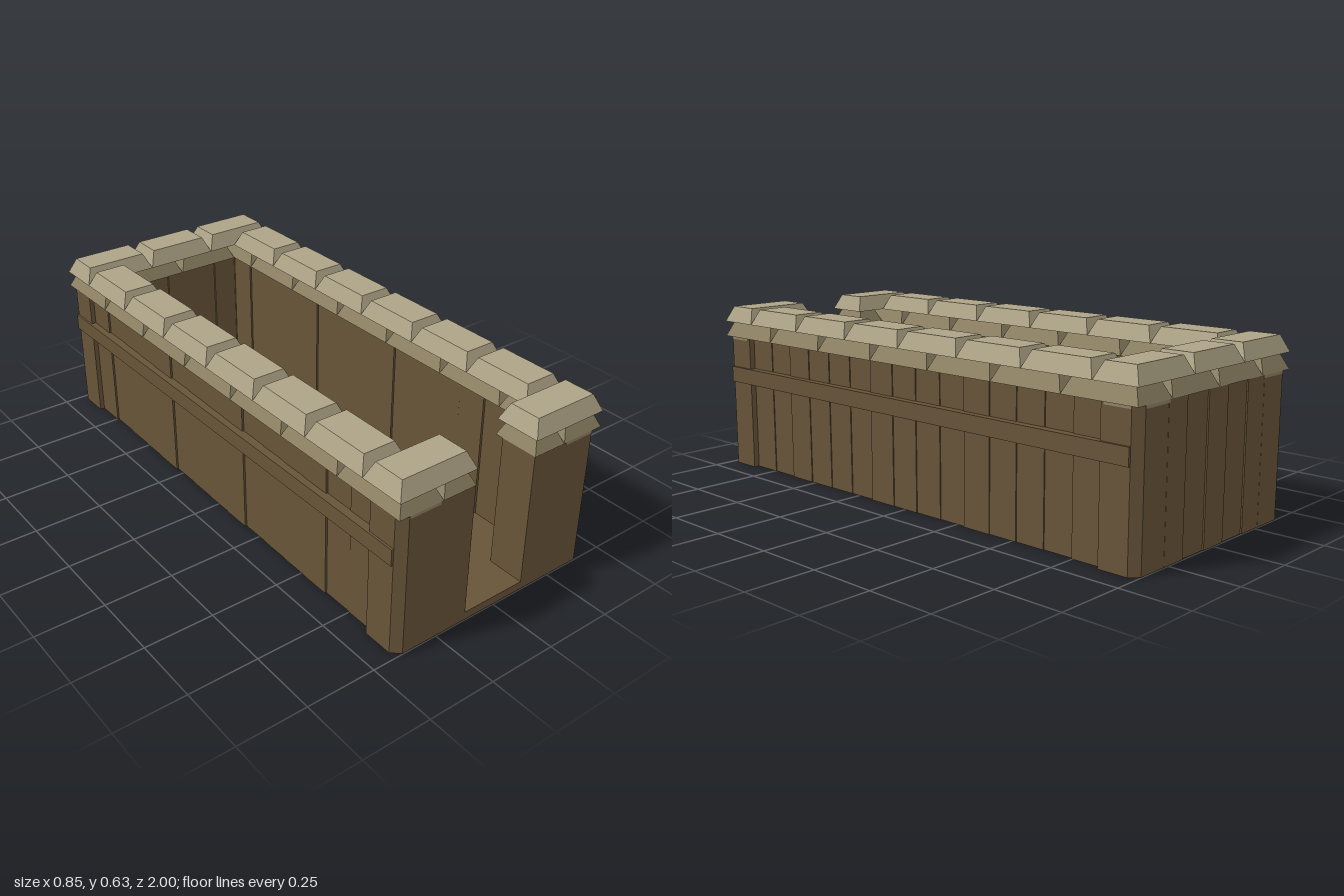
import * as THREE from 'three';

export function createModel() {
  const model = new THREE.Group();
  model.name = 'trench';

  const mat = (name, color) => {
    const m = new THREE.MeshStandardMaterial({ color });
    m.name = name;
    return m;
  };
  const wood = mat('brown wood', 0x685539);
  const lowerBag = mat('dark sandbag', 0x8f8365);
  const upperBag = mat('light sandbag', 0xaea386);
  const red = mat('red bench wood', 0x743029);

  const add = (name, geometry, material, parent = model) => {
    const mesh = new THREE.Mesh(geometry, material);
    mesh.name = name;
    parent.add(mesh);
    return mesh;
  };
  const group = (name) => {
    const g = new THREE.Group();
    g.name = name;
    model.add(g);
    return g;
  };
  // Box from its limits; the top is drawn in by "inset"
  const block = (x0, x1, y0, y1, z0, z1, inset = 0) => {
    const w = x1 - x0, h = y1 - y0, d = z1 - z0;
    const geo = new THREE.BoxGeometry(w, h, d);
    if (inset) {
      const p = geo.attributes.position;
      for (let i = 0; i < p.count; i++) {
        if (p.getY(i) < 0) continue;
        p.setX(i, p.getX(i) - Math.sign(p.getX(i)) * inset);
        p.setZ(i, p.getZ(i) - Math.sign(p.getZ(i)) * inset);
      }
      geo.computeVertexNormals();
    }
    return geo.translate((x0 + x1) / 2, (y0 + y1) / 2, (z0 + z1) / 2);
  };
  // Upright prism from a plan outline of [x, z] points
  const prism = (points, height) => {
    const shape = new THREE.Shape(points.map(([x, z]) => new THREE.Vector2(x, -z)));
    return new THREE.ExtrudeGeometry(shape, { depth: height, bevelEnabled: false }).rotateX(-Math.PI / 2);
  };

  const H = 0.515;
  const bagIn = 0.255, bagOut = 0.425;

  // Floor with its sill in the entrance
  add('floor', block(-0.39, 0.39, 0, 0.03, -0.97, 0.87), wood);
  add('entranceSill', block(-0.125, 0.125, 0, 0.03, 0.87, 0.998), wood);

  // Front walls and back corner posts with chamfered outer edges
  for (const s of [-1, 1]) {
    add('frontWall', prism([[s * 0.125, 0.86], [s * 0.415, 0.86], [s * 0.415, 0.97], [s * 0.385, 0.998], [s * 0.125, 0.998]], H), wood);
    add('backPost', prism([[s * 0.27, -0.86], [s * 0.415, -0.86], [s * 0.415, -0.97], [s * 0.385, -0.998], [s * 0.27, -0.998]], H), wood);
  }

  // Back wall planks
  const backWall = group('backWall');
  const backX = [-0.27, -0.17, -0.055, 0.055, 0.17, 0.27];
  for (let i = 0; i < 5; i++) {
    const d = (i % 2) * 0.004;
    add('backPlank', block(backX[i] + 0.001, backX[i + 1] - 0.001, 0, H, -0.998 + d, -0.86 - d), wood, backWall);
  }

  // Side walls: planks of slightly uneven depth and an outer rail
  const count = 15, step = 1.72 / count;
  for (const s of [-1, 1]) {
    const wall = group(s > 0 ? 'leftWall' : 'rightWall');
    for (let i = 0; i < count; i++) {
      const z = -0.86 + i * step;
      const d = ((i * 7) % 4) * 0.002;
      const a = s * (0.272 + d), b = s * (0.398 - d);
      add('sidePlank', block(Math.min(a, b), Math.max(a, b), 0, H, z + 0.001, z + step - 0.001), wood, wall);
    }
    const r = [s * 0.385, s * 0.423].sort((a, b) => a - b);
    add('sideRail', block(r[0], r[1], 0.335, 0.395, -0.97, 0.97), wood, wall);
  }

  // Lower sandbags
  const lower = group('lowerSandbags');
  const addLower = (x0, x1, z0, z1) =>
    add('lowerSandbag', block(x0, x1, H, 0.573, z0, z1, 0.026), lowerBag, lower);
  for (const s of [-1, 1]) {
    const span = (a, b) => [s * a, s * b].sort((p, q) => p - q);
    for (let i = 0; i < 7; i++) addLower(...span(bagIn, bagOut), -1 + (i * 2) / 7, -1 + ((i + 1) * 2) / 7);
    addLower(...span(0.125, bagIn), 0.83, 1);
    addLower(...span(0, bagIn), -1, -0.835);
    // Sagging undersides of the corner bags
    for (const e of [-1, 1]) {
      const z = [e * 0.87, e * 0.9995].sort((p, q) => p - q);
      add('cornerBagUnderside', block(...span(0.265, 0.385), 0.505, H, z[0], z[1]), lowerBag, lower);
      const zs = [e * 0.87, e * 0.97].sort((p, q) => p - q);
      add('cornerBagUnderside', block(...span(0.385, 0.4165), 0.505, H, zs[0], zs[1]), lowerBag, lower);
    }
  }

  // Upper sandbags, staggered over the lower ones
  const upper = group('upperSandbags');
  const addUpper = (x0, x1, z0, z1) =>
    add('upperSandbag', block(x0, x1, 0.573, 0.632, z0, z1, 0.026), upperBag, upper);
  for (const s of [-1, 1]) {
    const span = (a, b) => [s * a, s * b].sort((p, q) => p - q);
    for (let i = 0; i < 6; i++) addUpper(...span(bagIn, bagOut), -0.833 + i * 0.2775, -0.833 + (i + 1) * 0.2775);
    addUpper(...span(0.125, bagOut), 0.832, 1);
    addUpper(...span(0.14, bagOut), -1, -0.833);
  }
  addUpper(-0.14, 0.14, -1, -0.833);

  // Bench: two seat boards on two legs
  const bench = group('bench');
  add('benchSeatBoard', block(-0.25, -0.168, 0.23, 0.256, 0.11, 0.755), red, bench);
  add('benchSeatBoard', block(-0.16, -0.078, 0.23, 0.256, 0.11, 0.755), red, bench);
  for (const z of [0.17, 0.66]) add('benchLeg', block(-0.24, -0.09, 0.03, 0.23, z, z + 0.04), red, bench);

  return model;
}
